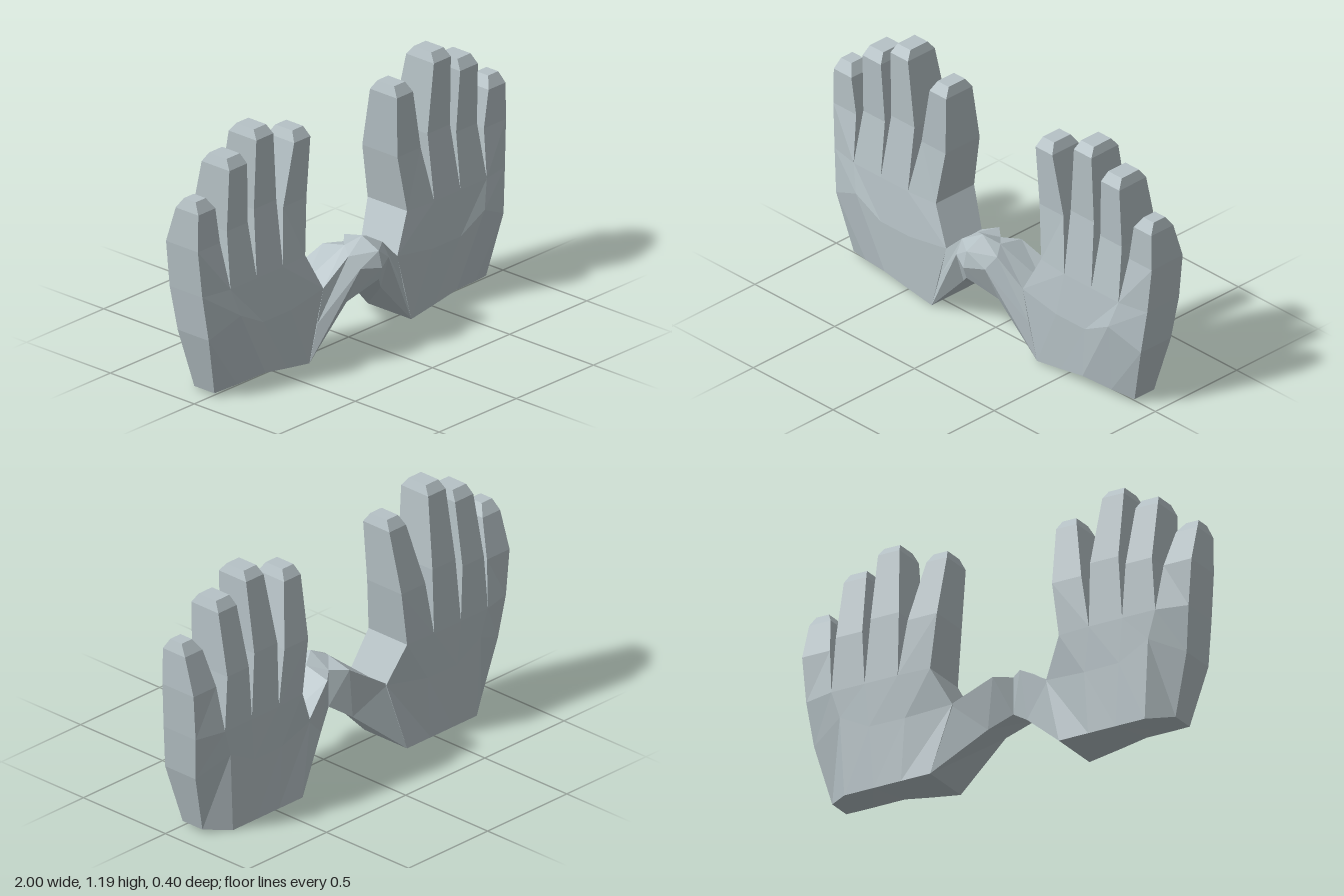
import * as THREE from 'three';

// Faceted solid through matching rings of [x, y, z] points; side -1 mirrors it in x
function loft(rings, side) {
  const r = rings.map(ring => ring.map(([x, y, z]) => [x * side, y, z]));
  const n = r[0].length, tris = [];
  const quad = (a, b, c, d) => tris.push([a, b, c], [a, c, d]);
  for (let k = 0; k < r.length - 1; k++)
    for (let i = 0; i < n; i++) {
      const j = (i + 1) % n;
      quad(r[k][i], r[k][j], r[k + 1][j], r[k + 1][i]);
    }
  // end caps, as strips across the ring
  const first = r[0], last = r[r.length - 1];
  for (let i = 0; i < n / 2 - 1; i++) {
    quad(first[n - 1 - i], first[n - 2 - i], first[i + 1], first[i]);
    quad(last[i], last[i + 1], last[n - 2 - i], last[n - 1 - i]);
  }
  // turn all faces outward
  const v = p => new THREE.Vector3(...p);
  const volume = tris.reduce((s, [a, b, c]) => s + v(a).dot(v(b).cross(v(c))), 0);
  if (volume < 0) tris.forEach(t => t.reverse());
  const geometry = new THREE.BufferGeometry();
  geometry.setAttribute('position', new THREE.Float32BufferAttribute(tris.flat(2), 3));
  geometry.computeVertexNormals();
  return geometry;
}

// Palm row: front points outward, then back points returning
function palmRow(xs, yFront, zFront, yBack, zBack) {
  const front = xs.map((x, i) => [x, yFront[i], zFront[i]]);
  const back = xs.map((x, i) => [x, yBack[i], zBack[i]]);
  return [...front, ...back.reverse()];
}

const level = y => Array(5).fill(y);
const knuckleX = [0.33, 0.49, 0.66, 0.83, 0.98];
const knuckleFront = [0.045, 0.06, 0.06, 0.06, 0.03];
const knuckleBack = [-0.19, -0.2, -0.2, -0.2, -0.165];
const webY = [0.33, 0.3, 0.3, 0.38, 0.3];

const palm = [
  palmRow([0.33, 0.48, 0.62, 0.77, 0.88], [0, 0.025, 0.05, 0.033, 0.015],
    [0.07, 0.073, 0.075, 0.045, 0.01], [0, 0, 0, 0, 0.015], [-0.19, -0.19, -0.19, -0.19, -0.11]),
  palmRow([0.24, 0.46, 0.64, 0.79, 0.955], webY,
    [0.07, 0.08, 0.08, 0.085, 0.045], webY, [-0.15, -0.19, -0.195, -0.195, -0.14]),
  palmRow(knuckleX, level(0.51), knuckleFront, level(0.51), knuckleBack),
];

// Finger sections above the knuckles: [y, xInner, xOuter, zFront, zBack]
const fingers = {
  indexFinger: [[0.77, 0.295, 0.445, 0.02, -0.19], [1.06, 0.28, 0.385, 0.03, -0.13], [1.105, 0.295, 0.365, 0, -0.1]],
  middleFinger: [[0.82, 0.49, 0.635, 0.02, -0.19], [1.15, 0.52, 0.63, 0.03, -0.135], [1.19, 0.535, 0.615, 0, -0.105]],
  ringFinger: [[0.77, 0.675, 0.81, 0.02, -0.195], [1.06, 0.69, 0.805, 0.03, -0.135], [1.105, 0.705, 0.79, 0, -0.105]],
  littleFinger: [[0.73, 0.855, 0.998, 0.02, -0.17], [0.905, 0.885, 0.995, 0.02, -0.115], [0.955, 0.915, 0.98, -0.01, -0.08]],
};

function fingerRings(sections, i) {
  const base = [
    [knuckleX[i], 0.51, knuckleFront[i]], [knuckleX[i + 1], 0.51, knuckleFront[i + 1]],
    [knuckleX[i + 1], 0.51, knuckleBack[i + 1]], [knuckleX[i], 0.51, knuckleBack[i]],
  ];
  return [base, ...sections.map(([y, a, b, f, k]) => [[a, y, f], [b, y, f], [b, y, k], [a, y, k]])];
}

// Thumb rings: top front, top middle, top back, bottom back, bottom front, front middle
const thumb = [
  [[0.24, 0.33, 0.07], [0.245, 0.33, -0.04], [0.25, 0.33, -0.15], [0.33, 0, -0.19], [0.33, 0, 0.07], [0.28, 0.17, 0.07]],
  [[0.11, 0.45, 0.1], [0.07, 0.475, 0.04], [0.07, 0.445, -0.09], [0.1, 0.2, -0.08], [0.11, 0.23, 0.09], [0.09, 0.4, 0.155]],
  [[0, 0.465, 0.18], [0, 0.51, 0.08], [0, 0.45, -0.03], [0, 0.27, -0.03], [0, 0.33, 0.18], [0, 0.39, 0.2]],
];

export function createModel() {
  const model = new THREE.Group();
  const skin = new THREE.MeshStandardMaterial({ color: 0xb6c2c6 });
  skin.name = 'paleGrey';

  for (const side of [1, -1]) {
    const hand = new THREE.Group();
    hand.name = side > 0 ? 'leftHand' : 'rightHand';
    const add = (name, rings) => {
      const mesh = new THREE.Mesh(loft(rings, side), skin);
      mesh.name = name;
      hand.add(mesh);
    };
    add('palm', palm);
    add('thumb', thumb);
    Object.entries(fingers).forEach(([name, sections], i) => add(name, fingerRings(sections, i)));
    model.add(hand);
  }
  return model;
}
